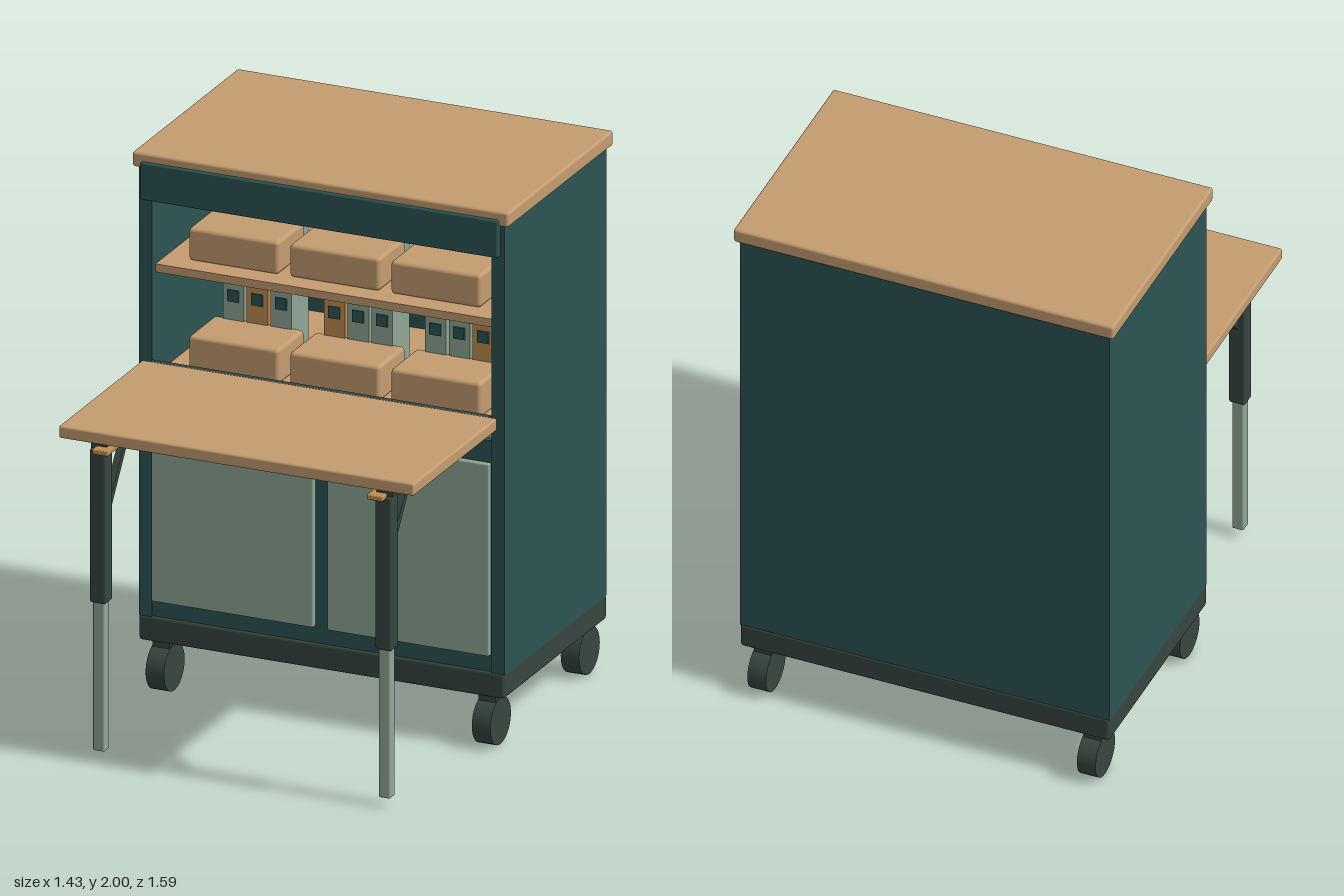
import * as THREE from 'three';
import { RoundedBoxGeometry } from 'three/addons/geometries/RoundedBoxGeometry.js';

const material = (name, color) => {
  const m = new THREE.MeshStandardMaterial({ color });
  m.name = name;
  return m;
};

export function createModel() {
  const root = new THREE.Group();
  root.name = 'mobileWorkstation';
  const teal = material('teal paint', 0x2b5452);
  const wood = material('light wood', 0xc49c70);
  const sage = material('sage paint', 0x90a796);
  const metal = material('dark metal', 0x36453f);
  const orange = material('orange', 0xc08d50);

  // Box given by its extents on each axis, with an optional softened edge
  const box = (name, mat, [x0, x1], [y0, y1], [z0, z1], r = 0, parent = root) => {
    const s = [x1 - x0, y1 - y0, z1 - z0];
    const geo = r ? new RoundedBoxGeometry(...s, 2, r) : new THREE.BoxGeometry(...s);
    const mesh = new THREE.Mesh(geo, mat);
    mesh.name = name;
    mesh.position.set((x0 + x1) / 2, (y0 + y1) / 2, (z0 + z1) / 2);
    parent.add(mesh);
    return mesh;
  };
  const around = (c, w) => [c - w / 2, c + w / 2];

  // Cabinet carcass
  box('base', metal, [-0.695, 0.695], [0.19, 0.285], [-0.768, 0.088], 0.012);
  box('backPanel', teal, [-0.645, 0.645], [0.28, 1.95], [-0.765, -0.725]);
  box('lowerCarcass', teal, [-0.645, 0.645], [0.28, 1.14], [-0.725, 0.08]);
  box('ceiling', teal, [-0.645, 0.645], [1.91, 1.95], [-0.725, 0.08]);
  box('cabinetTop', wood, [-0.715, 0.715], [1.945, 2], [-0.78, 0.098], 0.01);
  box('fascia', teal, [-0.68, 0.68], [1.83, 1.97], [0.08, 0.11], 0.008);
  box('lowerShelf', wood, [-0.645, 0.645], [1.143, 1.17], [-0.725, 0.065]);
  box('upperShelf', wood, [-0.645, 0.645], [1.55, 1.58], [-0.725, 0.055]);

  // Side walls, doors, handles and casters
  for (const s of [-1, 1]) {
    box('sideWall', teal, around(s * 0.67, 0.05), [0.28, 1.95], [-0.765, 0.085]);
    box('door', sage, around(s * 0.334, 0.615), [0.345, 1.057], [0.075, 0.1], 0.005);
    box('doorHandle', metal, around(s * 0.335, 0.13), [0.97, 0.99], [0.1, 0.128], 0.004);
    for (const z of [0.03, -0.71]) {
      const caster = new THREE.Group();
      caster.name = 'caster';
      root.add(caster);
      box('casterStem', metal, around(s * 0.62, 0.064), [0.1, 0.2], around(z, 0.07), 0, caster);
      const wheel = new THREE.Mesh(new THREE.CylinderGeometry(0.086, 0.086, 0.07, 32), metal);
      wheel.name = 'wheel';
      wheel.rotation.z = Math.PI / 2;
      wheel.position.set(s * 0.62, 0.086, z);
      caster.add(wheel);
    }
  }

  // Storage bins with a row of tagged files standing behind each
  const fileColors = [
    [sage, orange, sage],
    [orange, sage, sage],
    [sage, sage, orange],
  ];
  for (const shelfY of [1.17, 1.58]) {
    fileColors.forEach((mats, i) => {
      const x = (i - 1) * 0.384;
      const h = shelfY > 1.5 ? 0.122 : 0.132;
      box('bin', wood, around(x, 0.342), [shelfY, shelfY + h], [-0.24, -0.02], 0.014);
      mats.forEach((mat, j) => {
        const fx = x + (j - 1) * 0.091;
        box('file', mat, around(fx, 0.08), [shelfY, shelfY + 0.29], [-0.36, -0.22]);
        box('fileTag', teal, around(fx, 0.043), around(shelfY + 0.222, 0.043), [-0.22, -0.214]);
      });
    });
  }

  // Fold-down table
  box('tableTop', wood, [-0.675, 0.675], [1.19, 1.236], [0.1, 0.797], 0.008);
  box('tableHinge', metal, [-0.645, 0.645], [1.185, 1.234], [0.08, 0.103]);
  box('tableUnderPanel', teal, [-0.645, 0.645], [1.172, 1.191], [0.12, 0.73]);

  // Telescopic table legs with diagonal braces
  for (const s of [-1, 1]) {
    const leg = new THREE.Group();
    leg.name = 'tableLeg';
    root.add(leg);
    const x = s * 0.543;
    box('upperLeg', metal, around(x, 0.062), [0.586, 1.155], around(0.732, 0.062), 0.008, leg);
    box('lowerLeg', sage, around(x, 0.044), [0.035, 0.6], around(0.732, 0.044), 0.006, leg);
    box('legPivot', orange, around(s * 0.522, 0.06), [1.147, 1.166], [0.688, 0.79], 0.004, leg);
    box('legMount', metal, around(x, 0.06), [1.155, 1.191], around(0.732, 0.04), 0, leg);
    const dy = 0.25, dz = -0.175;
    const brace = box('brace', metal, [-0.0125, 0.0125], around(0, Math.hypot(dy, dz)), [-0.0125, 0.0125], 0, leg);
    brace.position.set(s * 0.535, 1.045, 0.62);
    brace.rotation.x = Math.atan2(dz, dy);
  }
  return root;
}
